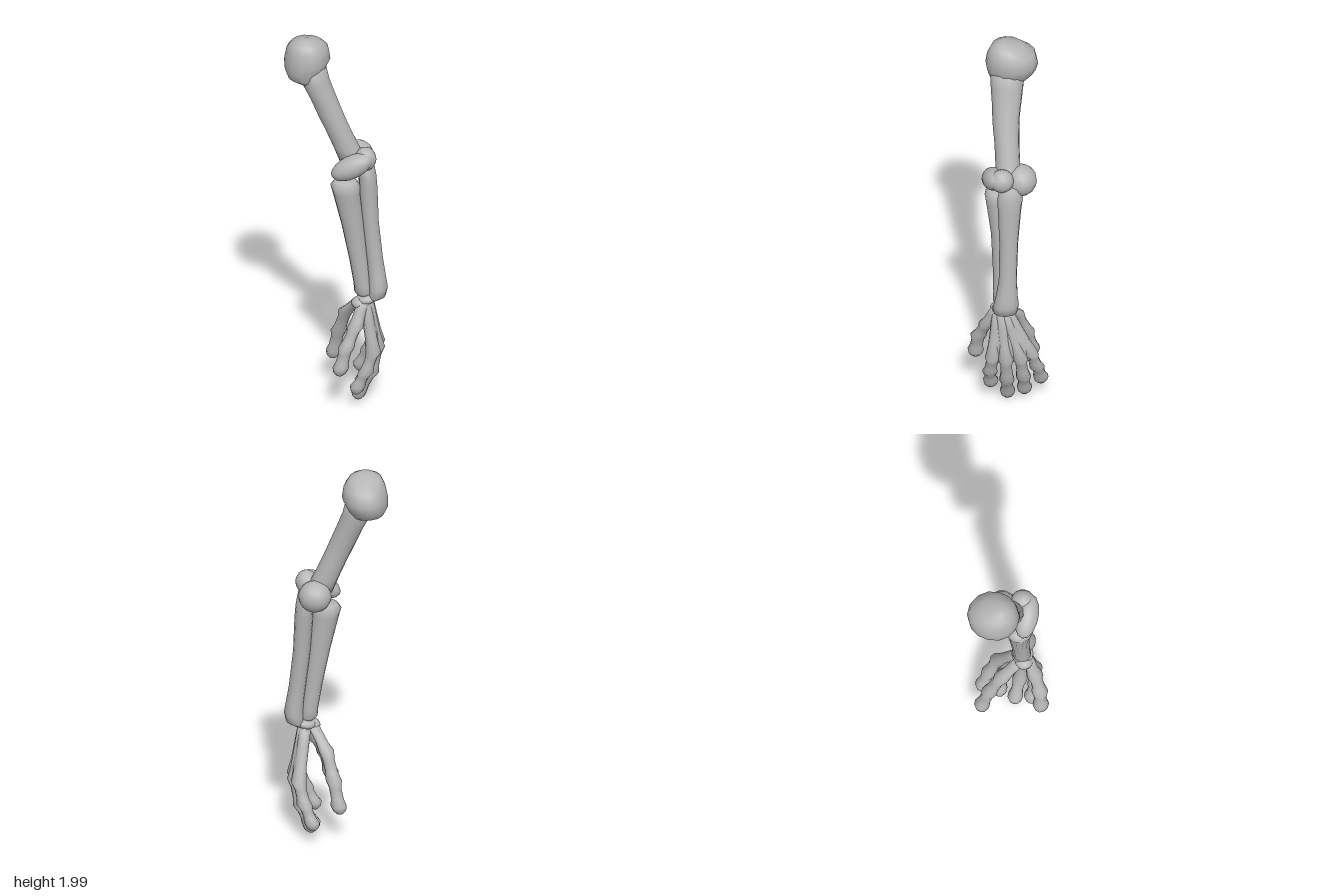
import * as THREE from 'three';

const bone = new THREE.MeshStandardMaterial({ color: 0xb6b6b6 });
bone.name = 'bone grey';

// Closed bone from horizontal elliptical rings [x, y, z, rx, rz], listed top to bottom
function loft(name, rings, sides = 12) {
  const pos = [], index = [];
  for (const [x, y, z, rx, rz = rx] of rings) {
    for (let i = 0; i < sides; i++) {
      const a = (i / sides) * Math.PI * 2;
      pos.push(x + rx * Math.cos(a), y, z + rz * Math.sin(a));
    }
  }
  for (let r = 0; r < rings.length - 1; r++) {
    for (let i = 0; i < sides; i++) {
      const a = r * sides + i, b = r * sides + (i + 1) % sides;
      index.push(a, b, a + sides, b, b + sides, a + sides);
    }
  }
  const top = pos.length / 3, last = (rings.length - 1) * sides;
  pos.push(...rings[0].slice(0, 3), ...rings[rings.length - 1].slice(0, 3));
  for (let i = 0; i < sides; i++) {
    const j = (i + 1) % sides;
    index.push(top, j, i, top + 1, last + i, last + j);
  }
  const geo = new THREE.BufferGeometry();
  geo.setAttribute('position', new THREE.Float32BufferAttribute(pos, 3));
  geo.setIndex(index);
  geo.computeVertexNormals();
  const mesh = new THREE.Mesh(geo, bone);
  mesh.name = name;
  return mesh;
}

// Rounded lump
function lump(name, p, r, rotZ = 0, rotY = 0) {
  const mesh = new THREE.Mesh(new THREE.SphereGeometry(1, 14, 10), bone);
  mesh.name = name;
  mesh.position.set(...p);
  mesh.scale.set(...r);
  mesh.rotation.set(0, rotY, rotZ);
  return mesh;
}

// Digit: joints top to bottom, each segment waisted in the middle, with a blunt tip
function digit(name, joints, r) {
  const rings = [];
  joints.forEach((p, i) => {
    const k = i === 0 ? 0.8 : 1.08;
    rings.push([...p, r * k]);
    const q = joints[i + 1];
    if (!q) return;
    for (const [t, w] of [[0.3, 0.82], [0.7, 0.85]]) {
      rings.push([...p.map((v, n) => v + (q[n] - v) * t), r * w]);
    }
  });
  const [x, y, z] = joints[joints.length - 1];
  rings.push([x - 0.004, y - 0.025, z, r * 0.9], [x - 0.006, y - 0.042, z, r * 0.45]);
  return loft(name, rings, 10);
}

export function createModel() {
  const model = new THREE.Group();
  model.name = 'skeletonArm';

  // Upper arm
  model.add(
    loft('shoulderHead', [
      [-0.145, 2.0, -0.005, 0.035, 0.03], [-0.145, 1.98, -0.02, 0.08, 0.08],
      [-0.142, 1.94, -0.04, 0.105, 0.12], [-0.143, 1.88, -0.042, 0.115, 0.132],
      [-0.155, 1.83, -0.042, 0.102, 0.122], [-0.155, 1.79, -0.03, 0.085, 0.095],
      [-0.13, 1.765, -0.015, 0.05, 0.06],
    ], 14),
    loft('upperArmBone', [
      [-0.13, 1.88, -0.02, 0.075, 0.085], [-0.105, 1.78, -0.015, 0.074, 0.083],
      [-0.065, 1.69, -0.008, 0.068, 0.074], [-0.028, 1.6, 0, 0.066, 0.067],
      [0.015, 1.5, 0, 0.064, 0.062], [0.055, 1.41, 0, 0.066, 0.062], [0.09, 1.33, 0, 0.07, 0.06],
    ]),
  );

  // Elbow knuckles
  model.add(
    lump('frontElbowKnuckle', [0.085, 1.335, 0.075], [0.115, 0.058, 0.058], 0.5),
    lump('backElbowKnuckle', [0.105, 1.332, -0.06], [0.083, 0.08, 0.08]),
    lump('outerElbowKnuckle', [0.15, 1.365, 0.04], [0.055, 0.06, 0.06]),
  );

  // Forearm
  model.add(
    loft('outerForearmBone', [
      [0.15, 1.33, 0, 0.04, 0.05], [0.158, 1.26, 0, 0.044, 0.064],
      [0.162, 1.19, 0.003, 0.046, 0.058], [0.172, 1.0, 0.008, 0.043, 0.047],
      [0.194, 0.8, 0.015, 0.042, 0.045], [0.207, 0.7, 0.022, 0.045, 0.054],
      [0.211, 0.645, 0.026, 0.05, 0.064], [0.206, 0.6, 0.028, 0.045, 0.06],
      [0.185, 0.575, 0.028, 0.022, 0.035],
    ]),
    loft('innerForearmBone', [
      [0.05, 1.245, 0.045, 0.055, 0.05], [0.05, 1.22, 0.045, 0.074, 0.07],
      [0.055, 1.18, 0.045, 0.068, 0.064], [0.085, 1.0, 0.037, 0.055, 0.05],
      [0.115, 0.8, 0.036, 0.045, 0.045], [0.133, 0.67, 0.036, 0.042, 0.045],
      [0.14, 0.625, 0.036, 0.046, 0.048], [0.142, 0.605, 0.036, 0.03, 0.03],
    ]),
  );

  // Wrist
  model.add(
    lump('wristBone', [0.155, 0.585, 0.035], [0.055, 0.028, 0.055], 0.2),
    lump('innerWristBone', [0.12, 0.565, 0.05], [0.04, 0.03, 0.045]),
  );

  // Back of the hand
  model.add(loft('palm', [
    [0.155, 0.575, 0.035, 0.025, 0.045], [0.172, 0.5, 0.025, 0.024, 0.062],
    [0.19, 0.42, 0.01, 0.022, 0.085], [0.2, 0.34, -0.005, 0.022, 0.1],
    [0.2, 0.29, -0.01, 0.015, 0.095],
  ]));

  // Fingers: wrist, knuckle, middle joint, tip
  const fingers = {
    indexFinger: [[0.152, 0.56, 0.06], [0.192, 0.31, 0.09], [0.155, 0.2, 0.1], [0.115, 0.12, 0.092]],
    middleFinger: [[0.165, 0.56, 0.045], [0.208, 0.31, 0.027], [0.178, 0.16, 0.018], [0.118, 0.05, 0.008]],
    ringFinger: [[0.165, 0.56, 0.025], [0.205, 0.31, -0.045], [0.175, 0.17, -0.065], [0.13, 0.075, -0.075]],
    littleFinger: [[0.155, 0.56, 0.01], [0.185, 0.32, -0.1], [0.155, 0.21, -0.135], [0.118, 0.125, -0.158]],
  };
  for (const [name, joints] of Object.entries(fingers)) model.add(digit(name, joints, 0.036));

  // Inner digits
  model.add(
    digit('thumb', [[0.14, 0.575, 0.065], [0.105, 0.46, 0.11], [0.06, 0.36, 0.147], [0.034, 0.255, 0.158]], 0.038),
    digit('innerDigit', [[0.115, 0.57, 0.03], [0.05, 0.47, -0.045], [0.01, 0.33, -0.1], [-0.015, 0.205, -0.13]], 0.037),
  );

  return model;
}
